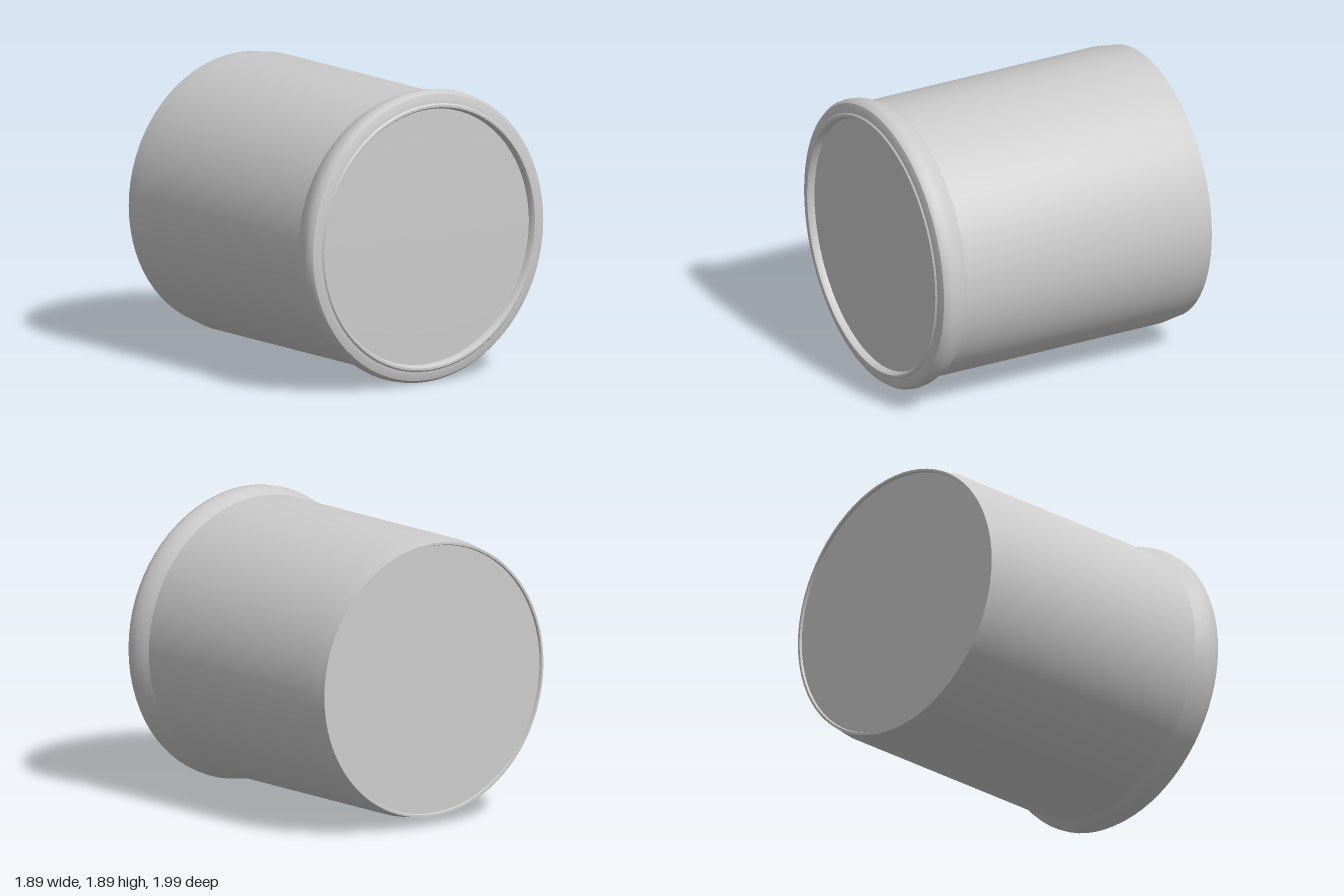
import * as THREE from 'three';
import { toCreasedNormals } from 'three/addons/utils/BufferGeometryUtils.js';

const RADIUS = 0.945;

export function createModel() {
  const model = new THREE.Group();
  model.name = 'cylinderCan';
  const material = new THREE.MeshStandardMaterial({ color: 0xcccccc });

  // Revolves a [radius, z] profile, listed back to front, about the z axis
  function addTurned(name, profile) {
    const points = profile.map(([r, z]) => new THREE.Vector2(r, z));
    const geometry = toCreasedNormals(new THREE.LatheGeometry(points, 72), 0.6);
    geometry.rotateX(Math.PI / 2);
    const mesh = new THREE.Mesh(geometry, material);
    mesh.name = name;
    mesh.position.y = RADIUS;
    model.add(mesh);
  }

  // Flat back, set slightly inside the thin back edge
  addTurned('backPlate', [[0, -0.975], [0.865, -0.975]]);

  // Straight wall, narrowing a little at the back
  addTurned('body', [
    [0.865, -0.975], [0.87, -0.99], [0.885, -0.99], [0.892, -0.93],
    [0.903, -0.86], [0.903, 0.79],
  ]);

  // Rounded flange around the front, with its inner lip
  addTurned('frontRim', [
    [0.903, 0.79], [0.918, 0.82], [0.937, 0.865], [RADIUS, 0.91],
    [0.942, 0.945], [0.925, 0.97], [0.89, 0.982], [0.865, 0.985],
    [0.855, 0.995], [0.84, 0.995], [0.83, 0.98], [0.825, 0.95],
  ]);

  // Shallow recessed front face
  addTurned('frontPlate', [[0.825, 0.95], [0.6, 0.955], [0, 0.955]]);

  return model;
}
